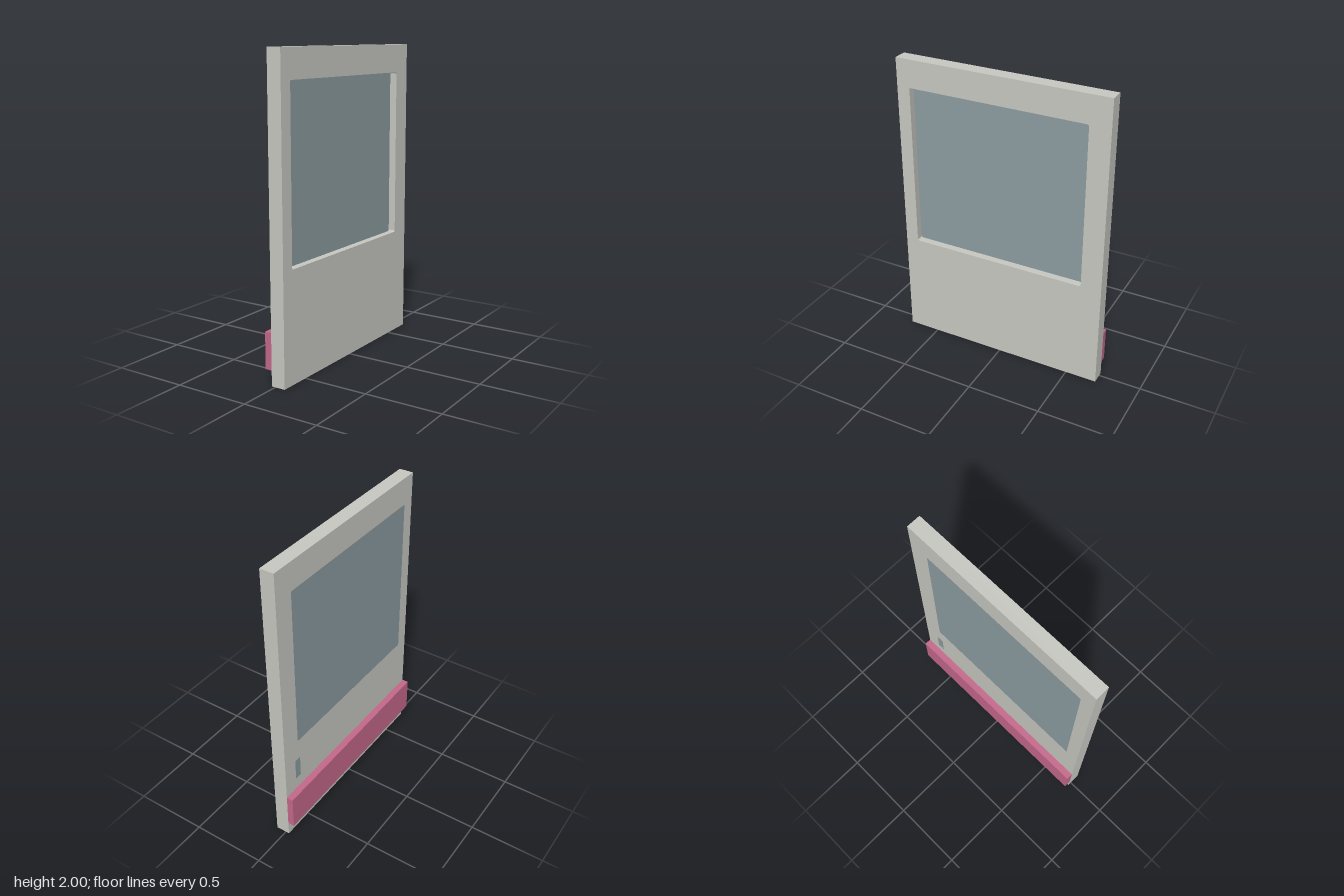
import * as THREE from 'three';

const mat = (name, color) => {
  const m = new THREE.MeshStandardMaterial({ color });
  m.name = name;
  return m;
};

// Rounded rectangle in the door's plane: first axis runs along -z, second along y
function roundedRect(path, x0, x1, y0, y1, r) {
  path.moveTo(x0 + r, y0);
  path.lineTo(x1 - r, y0);
  path.quadraticCurveTo(x1, y0, x1, y0 + r);
  path.lineTo(x1, y1 - r);
  path.quadraticCurveTo(x1, y1, x1 - r, y1);
  path.lineTo(x0 + r, y1);
  path.quadraticCurveTo(x0, y1, x0, y1 - r);
  path.lineTo(x0, y0 + r);
  path.quadraticCurveTo(x0, y0, x0 + r, y0);
  return path;
}

export function createModel() {
  const group = new THREE.Group();
  const panelGrey = mat('panel grey', 0xc8c8c2);
  const glassBlue = mat('glass blue', 0x8c9ca1);
  const stripPink = mat('strip pink', 0xc4688a);

  const back = -0.025, front = 0.07, half = 0.713;
  const add = (name, geometry, material) => {
    const mesh = new THREE.Mesh(geometry, material);
    mesh.name = name;
    group.add(mesh);
  };
  // Extrude a shape from x0 to x1
  const slab = (shape, x0, x1) =>
    new THREE.ExtrudeGeometry(shape, { depth: x1 - x0, bevelEnabled: false, curveSegments: 4 })
      .rotateY(Math.PI / 2).translate(x0, 0, 0);
  const block = (x0, x1, y0, y1, z0, z1) =>
    new THREE.BoxGeometry(x1 - x0, y1 - y0, z1 - z0)
      .translate((x0 + x1) / 2, (y0 + y1) / 2, (z0 + z1) / 2);

  // Door panel with window opening
  const opening = [-0.625, 0.575, 0.715, 1.815, 0.012];
  const door = new THREE.Shape();
  door.moveTo(-half, 0);
  door.lineTo(half, 0);
  door.lineTo(half, 2);
  door.lineTo(-half, 2);
  door.closePath();
  door.holes.push(roundedRect(new THREE.Path(), ...opening));
  add('doorPanel', slab(door, back, front), panelGrey);

  // Window pane: flush outside, recessed inside
  add('windowPane', slab(roundedRect(new THREE.Shape(), ...opening), back, 0.022), glassBlue);

  // Small handle plate and the bumper strip on the outer face
  add('handlePlate', block(back - 0.001, back + 0.002, 0.42, 0.57, -0.61, -0.56), glassBlue);
  add('bumperStrip', block(-0.07, back, 0.1, 0.335, -half, half), stripPink);

  return group;
}
